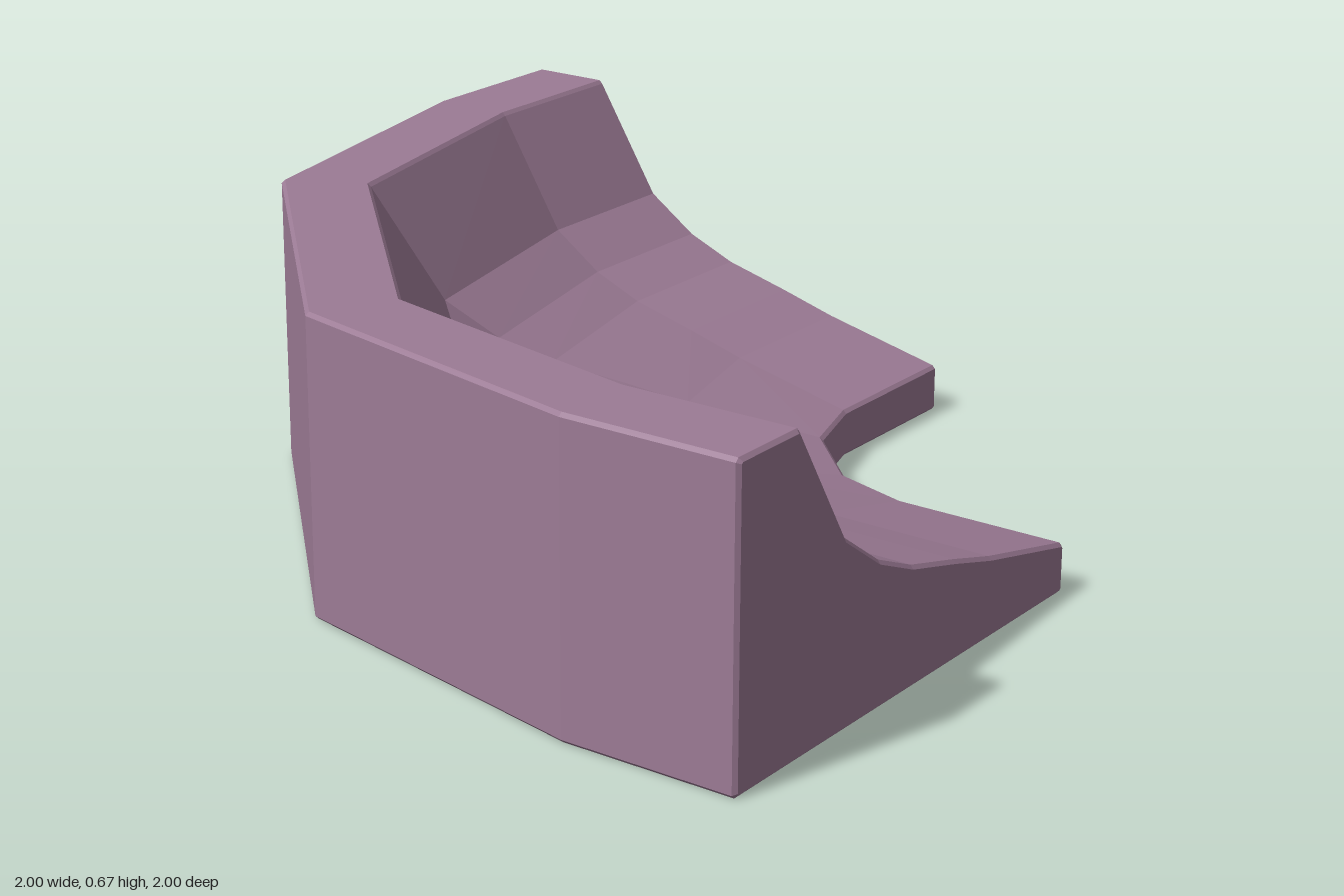
import * as THREE from 'three';

const B = 0.008; // edge bevel
const H = 0.665; // rim height

// Cross-section: [distance from the bend centre, height], counter-clockwise
const profile = [
  [1.6 - B, 0], [1.6, B], [1.6, H - B], [1.6 - B, H], // outer wall
  [1.4 + B, H], [1.4, H - B],                         // rim
  [1.24, 0.397], [1.12, 0.313], [1.0, 0.262], [0.84, 0.22], [0.7, 0.18], // curved bank
  [0.4 + B, 0.113], [0.4, 0.113 - B], [0.4, B], [0.4 + B, 0], // inner lip
];

// Shrinks a closed outline inwards by d
function inset(pts, d) {
  const n = pts.length;
  const normal = (p, q) => {
    const l = Math.hypot(q[0] - p[0], q[1] - p[1]);
    return [-(q[1] - p[1]) / l, (q[0] - p[0]) / l];
  };
  return pts.map((p, i) => {
    const a = normal(pts[(i + n - 1) % n], p), b = normal(p, pts[(i + 1) % n]);
    const k = d / (1 + a[0] * b[0] + a[1] * b[1]);
    return [p[0] + (a[0] + b[0]) * k, p[1] + (a[1] + b[1]) * k];
  });
}

// Section across one straight arm, at a given x
const straight = (pts, x) => pts.map(([r, y]) => [x, y, r - 0.6]);

// Section across the faceted bend
const bend = (pts) => pts.map(([r, y]) => {
  const t = (r - 0.4) / 1.2;
  return [0.6 - 0.18 - 0.58 * t, y, -0.6 + 0.345 + 1.095 * t];
});

// The second arm mirrors the first across the diagonal
const mirror = (ring) => ring.map(([x, y, z]) => [-z, y, -x]);

function sweptGeometry() {
  const cap = inset(profile, B);
  const half = [straight(cap, 1), straight(profile, 1 - B), straight(profile, 0.6), bend(profile)];
  const rings = [...half, ...half.slice().reverse().map(mirror)];
  const n = profile.length;
  const index = [];
  for (let i = 0; i < rings.length - 1; i++) {
    for (let j = 0; j < n; j++) {
      const k = (j + 1) % n;
      const a = i * n + j, b = i * n + k, c = (i + 1) * n + k, d = (i + 1) * n + j;
      index.push(a, b, d, b, c, d);
    }
  }
  // End faces
  const last = (rings.length - 1) * n;
  const outline = cap.map(([r, y]) => new THREE.Vector2(r, y));
  for (const [a, b, c] of THREE.ShapeUtils.triangulateShape(outline, [])) {
    index.push(a, c, b, last + a, last + b, last + c);
  }
  const geometry = new THREE.BufferGeometry();
  geometry.setAttribute('position', new THREE.Float32BufferAttribute(rings.flat(2), 3));
  geometry.setIndex(index);
  const flat = geometry.toNonIndexed();
  flat.computeVertexNormals();
  return flat;
}

export function createModel() {
  const group = new THREE.Group();
  group.name = 'bankedCorner';
  const material = new THREE.MeshStandardMaterial({ color: 0x9c7b95, flatShading: true });
  const track = new THREE.Mesh(sweptGeometry(), material);
  track.name = 'bankedCornerTrack';
  group.add(track);
  return group;
}
